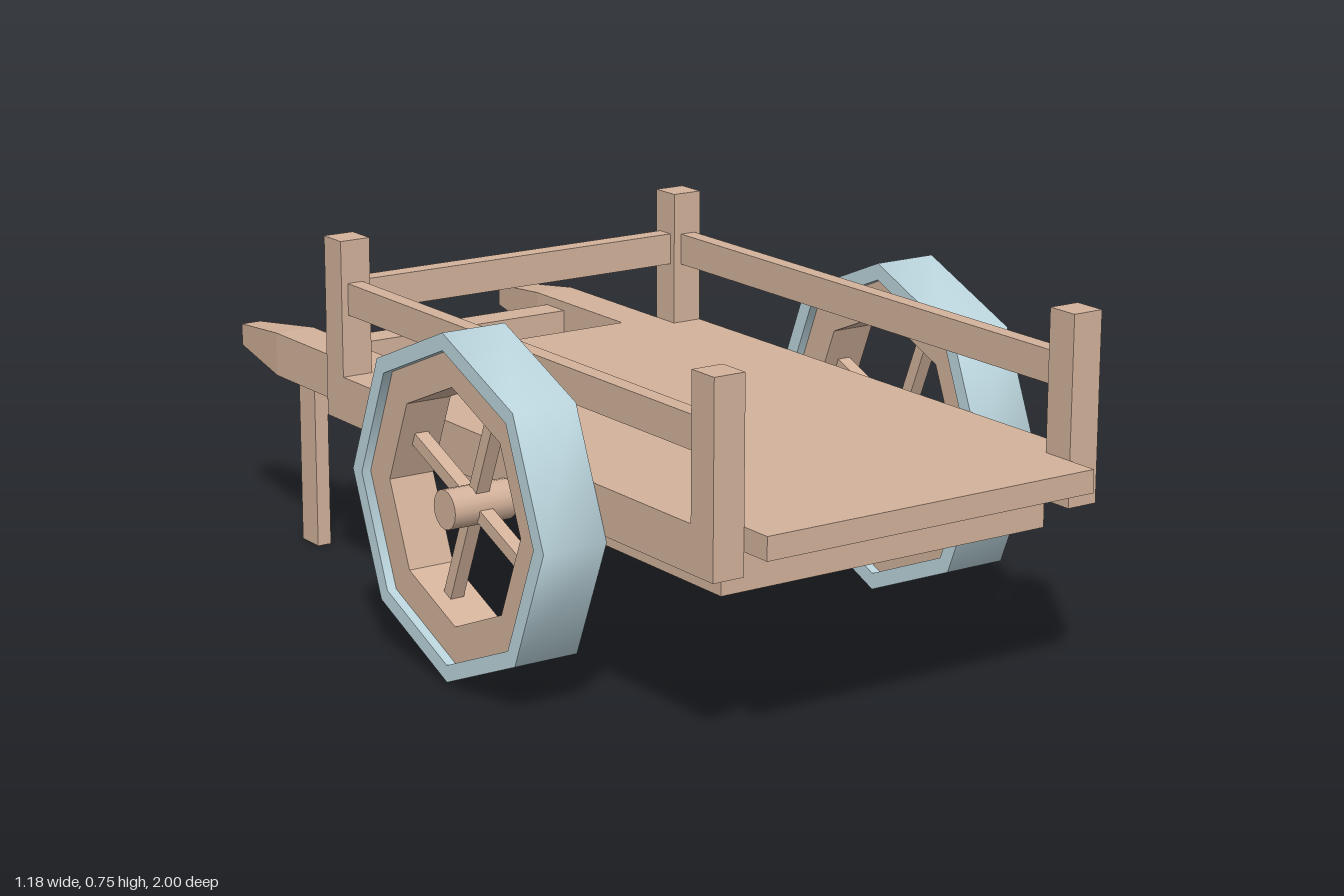
import * as THREE from 'three';
import { toCreasedNormals } from 'three/addons/utils/BufferGeometryUtils.js';

const wood = new THREE.MeshStandardMaterial({ color: 0xd3b29b });
const iron = new THREE.MeshStandardMaterial({ color: 0xbcd6de });

function add(parent, name, geometry, material = wood) {
  const mesh = new THREE.Mesh(geometry, material);
  mesh.name = name;
  parent.add(mesh);
  return mesh;
}

// Box given by its extents along each axis
function block(parent, name, [x0, x1], [y0, y1], [z0, z1]) {
  const g = new THREE.BoxGeometry(x1 - x0, y1 - y0, z1 - z0);
  g.translate((x0 + x1) / 2, (y0 + y1) / 2, (z0 + z1) / 2);
  return add(parent, name, g);
}

// Eight-sided ring around the x axis
function ring(inner, outer, halfWidth, crease) {
  const profile = [
    [inner, -halfWidth], [outer, -halfWidth], [outer, halfWidth], [inner, halfWidth], [inner, -halfWidth],
  ].map(([r, y]) => new THREE.Vector2(r, y));
  const g = new THREE.LatheGeometry(profile, 8).rotateZ(-Math.PI / 2);
  return toCreasedNormals(g, crease);
}

function createWheel() {
  const wheel = new THREE.Group();
  wheel.name = 'wheel';
  add(wheel, 'tyre', ring(0.315, 0.35, 0.07, 1.0), iron);
  add(wheel, 'rim', ring(0.24, 0.316, 0.05, 0.3));
  add(wheel, 'hub', new THREE.CylinderGeometry(0.04, 0.04, 0.14, 16).rotateZ(Math.PI / 2));
  // Four spokes meeting the middles of the rim's flat sides
  for (let i = 0; i < 4; i++) {
    const g = new THREE.BoxGeometry(0.03, 0.2, 0.027).translate(0, 0.125, 0);
    add(wheel, 'spoke', g).rotation.x = Math.PI / 8 + i * Math.PI / 2;
  }
  return wheel;
}

// Parts that occur once on each side
function addSide(cart, s) {
  const span = (a, b) => (s > 0 ? [a, b] : [-b, -a]);

  block(cart, 'sideBeam', span(0.382, 0.45), [0.365, 0.46], [-0.39, 0.86]);
  block(cart, 'sideRail', span(0.4, 0.435), [0.59, 0.657], [-0.39, 0.86]);
  block(cart, 'frontPost', span(0.382, 0.45), [0.365, 0.747], [0.86, 0.93]);
  block(cart, 'rearPost', span(0.382, 0.45), [0.365, 0.747], [-0.458, -0.39]);

  // Handle with a tapered tip
  block(cart, 'handle', span(0.29, 0.382), [0.365, 0.46], [-0.8, -0.45]);
  const tip = new THREE.BoxGeometry(0.092, 0.095, 0.2);
  const p = tip.attributes.position;
  for (let i = 0; i < p.count; i++) {
    if (p.getZ(i) < 0) p.setXY(i, p.getX(i) * 0.5, p.getY(i) * 0.5);
  }
  tip.computeVertexNormals();
  add(cart, 'handleTip', tip).position.set(s * 0.336, 0.4125, -0.9);
  block(cart, 'leg', span(0.32, 0.352), [0, 0.366], [-0.757, -0.69]);

  const wheel = createWheel();
  wheel.position.set(s * 0.521, 0.355, 0.24);
  cart.add(wheel);
}

export function createModel() {
  const cart = new THREE.Group();
  cart.name = 'handcart';

  // Bed
  block(cart, 'floor', [-0.382, 0.382], [0.413, 0.46], [-0.41, 1]);
  block(cart, 'underframe', [-0.382, 0.382], [0.31, 0.413], [-0.385, 0.86]);
  block(cart, 'rearBeam', [-0.382, 0.382], [0.365, 0.46], [-0.458, -0.405]);
  block(cart, 'rearRail', [-0.382, 0.382], [0.59, 0.657], [-0.445, -0.405]);

  // Bar between the handles
  block(cart, 'handleBar', [-0.29, 0.29], [0.385, 0.44], [-0.76, -0.69]);

  for (const s of [1, -1]) addSide(cart, s);
  return cart;
}
